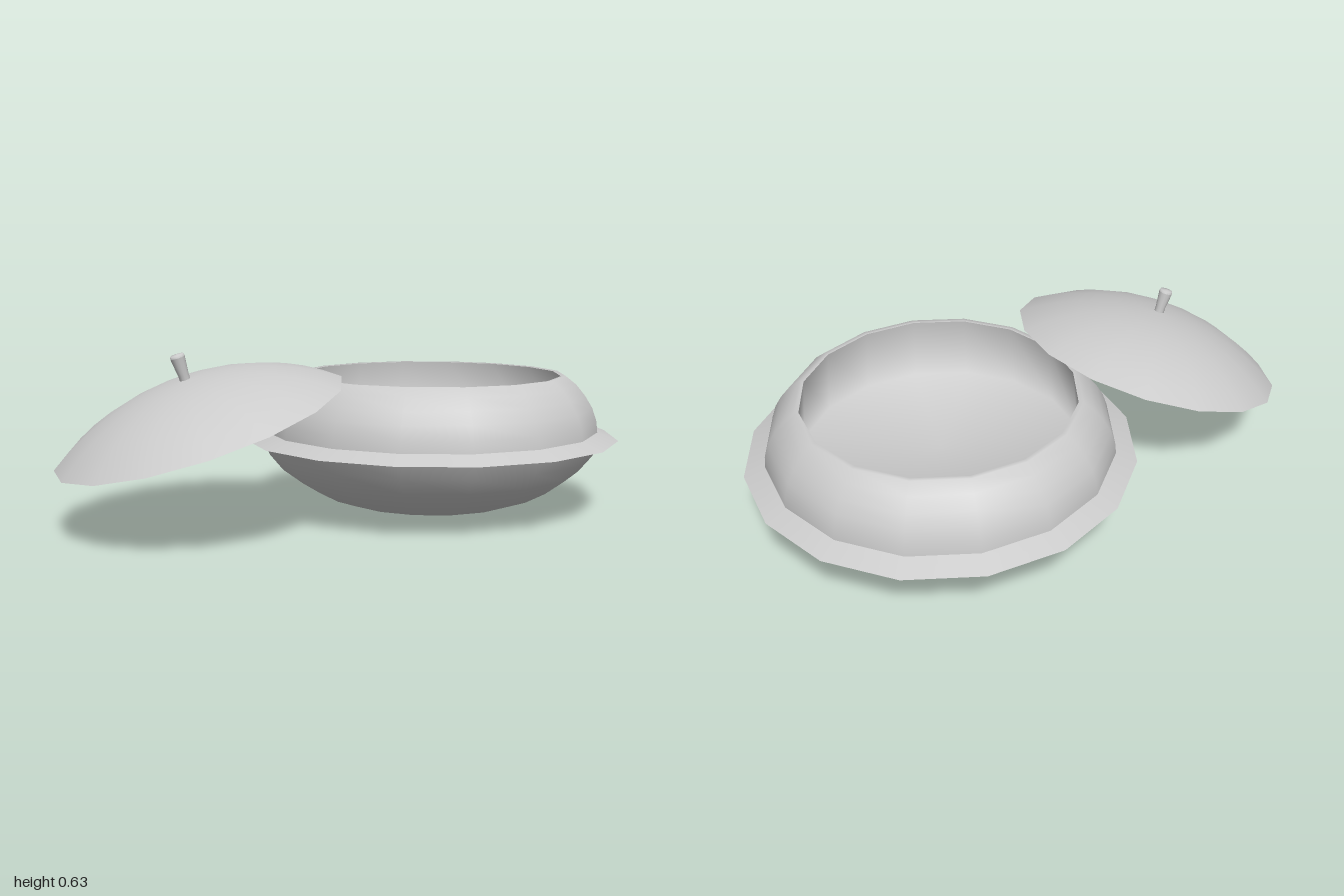
import * as THREE from 'three';

const SIDES = 16;
const PHASE = THREE.MathUtils.degToRad(-5);
const material = new THREE.MeshStandardMaterial({ color: 0xcccccc, side: THREE.DoubleSide });

// Turned part from [radius, height] pairs; pairs that rise face outward
function turned(name, profile, sides = SIDES) {
  const points = profile.map(([r, y]) => new THREE.Vector2(r, y));
  const mesh = new THREE.Mesh(new THREE.LatheGeometry(points, sides, PHASE), material);
  mesh.name = name;
  return mesh;
}

// Spherical cap profile from the rim up to the centre
function capProfile(radius, height, steps) {
  const R = (radius * radius + height * height) / (2 * height);
  const open = Math.asin(radius / R);
  return Array.from({ length: steps + 1 }, (_, i) => {
    const a = open * (1 - i / steps);
    return [R * Math.sin(a), height - R + R * Math.cos(a)];
  });
}

function createBowl() {
  const bowl = new THREE.Group();
  bowl.name = 'bowl';
  bowl.add(
    turned('bowlBase', [
      [0, 0], [0.23, 0.003], [0.34, 0.025], [0.42, 0.052], [0.5, 0.095],
      [0.575, 0.15], [0.625, 0.21], [0.658, 0.272],
    ]),
    turned('flangeUnderside', [[0.65, 0.27], [0.72, 0.272]]),
    turned('flangeTop', [[0.72, 0.272], [0.64, 0.303]]),
    turned('bowlShoulder', [
      [0.642, 0.3], [0.637, 0.345], [0.62, 0.395], [0.593, 0.44], [0.558, 0.483],
      [0.517, 0.515], [0.5, 0.513],
    ]),
    // Recess with a steep wall and a flat floor, running down from the lip
    turned('bowlInside', [[0.5, 0.513], [0.525, 0.26], [0, 0.255]]),
  );
  bowl.position.set(0.28, 0, -0.175);
  return bowl;
}

function createLid() {
  const lid = new THREE.Group();
  lid.name = 'lid';
  lid.add(
    turned('lidDome', capProfile(0.529, 0.164, 7)),
    turned('lidUnderside', [[0, 0], [0.529, 0]]),
    // Small flared handle
    turned('knob', [[0.019, 0.155], [0.019, 0.18], [0.026, 0.245]], 12),
    turned('knobTop', [[0.026, 0.245], [0.024, 0.254], [0, 0.257]], 12),
  );
  // Leans against the edge of the bowl
  const normal = new THREE.Vector3(-0.27, 1, 0.178).normalize();
  lid.quaternion.setFromUnitVectors(new THREE.Vector3(0, 1, 0), normal);
  lid.position.set(-0.492, 0.381, 0.369);
  return lid;
}

export function createModel() {
  const model = new THREE.Group();
  model.name = 'lidded bowl';
  model.add(createBowl(), createLid());
  return model;
}
